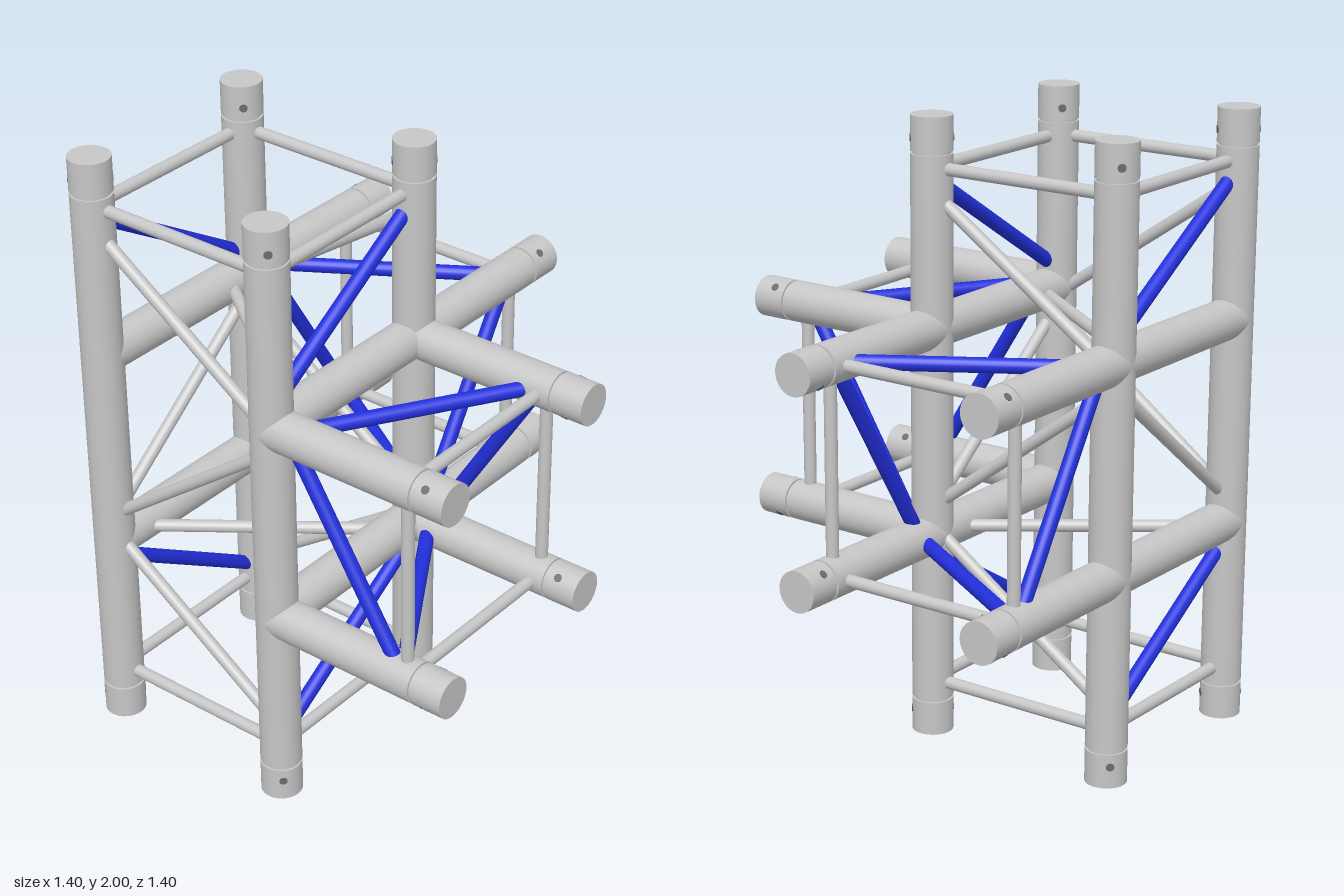
import * as THREE from 'three';

const A = -0.635, B = 0.035;      // chord centre lines in x and z
const LO = 0.665, HI = 1.335;     // arm chord heights
const R = 0.066, END = 0.7, CAP = 0.11, GAP = 0.008;

export function createModel() {
  const model = new THREE.Group();
  const aluminium = new THREE.MeshStandardMaterial({ color: 0xc6c6c6 });
  aluminium.name = 'aluminium';
  const blue = new THREE.MeshStandardMaterial({ color: 0x2230dc });
  blue.name = 'blue';
  const holeGrey = new THREE.MeshStandardMaterial({ color: 0x6c6c6c });
  holeGrey.name = 'holeGrey';
  const up = new THREE.Vector3(0, 1, 0);

  // round bar between two points
  function bar(name, p, q, radius, material, sides = 20, extend = 0) {
    const a = new THREE.Vector3(...p), b = new THREE.Vector3(...q);
    const dir = b.clone().sub(a), length = dir.length();
    dir.normalize();
    const mesh = new THREE.Mesh(
      new THREE.CylinderGeometry(radius, radius, length + 2 * extend, sides), material);
    mesh.position.copy(a).add(b).multiplyScalar(0.5);
    mesh.quaternion.setFromUnitVectors(up, dir);
    mesh.name = name;
    model.add(mesh);
  }

  // end sleeve with a groove and a diagonal pin hole; end is the outer tip
  function sleeve(end, inward, outward) {
    const e = new THREE.Vector3(...end), d = new THREE.Vector3(...inward);
    const at = (t) => e.clone().addScaledVector(d, t).toArray();
    bar('endSleeve', at(0), at(CAP), R, aluminium, 40);
    bar('sleeveGroove', at(CAP), at(CAP + GAP), R - 0.007, aluminium, 40);
    const o = new THREE.Vector3(...outward).normalize().multiplyScalar(R + 0.0008);
    const c = new THREE.Vector3(...at(0.07));
    bar('pinHole', c.clone().sub(o).toArray(), c.clone().add(o).toArray(), 0.013, holeGrey, 16);
  }

  const side = (v) => (v === A ? -1 : 1);
  const level = (y) => (y === LO ? -1 : 1);

  // four upright chords
  for (const x of [A, B]) for (const z of [A, B]) {
    bar('uprightChord', [x, CAP + GAP, z], [x, 2 - CAP - GAP, z], R, aluminium, 40);
    sleeve([x, 0, z], [0, 1, 0], [side(x), 0, side(z)]);
    sleeve([x, 2, z], [0, -1, 0], [side(x), 0, side(z)]);
  }

  // side and front arm chords
  for (const y of [LO, HI]) for (const c of [A, B]) {
    bar('sideArmChord', [A, y, c], [END - CAP - GAP, y, c], R, aluminium, 40);
    sleeve([END, y, c], [-1, 0, 0], [0, level(y), side(c)]);
    bar('frontArmChord', [c, y, B], [c, y, END - CAP - GAP], R, aluminium, 40);
    sleeve([c, y, END], [0, 0, -1], [side(c), level(y), 0]);
  }

  // straight rungs near each open end
  const rung = (p, q) => bar('rung', p, q, 0.02, aluminium);
  for (const c of [A, B]) {
    for (const y of [0.17, 1.837]) {
      rung([A, y, c], [B, y, c]);
      rung([c, y, A], [c, y, B]);
    }
    rung([0.53, LO, c], [0.53, HI, c]);
    rung([c, LO, 0.535], [c, HI, 0.535]);
  }
  for (const y of [LO, HI]) {
    rung([0.53, y, A], [0.53, y, B]);
    rung([A, y, 0.535], [B, y, 0.535]);
  }

  // diagonals: opposite faces lean opposite ways
  const grey = (p, q) => bar('greyDiagonal', p, q, 0.02, aluminium, 20, 0.025);
  const brace = (p, q) => bar('blueDiagonal', p, q, 0.0235, blue, 20, 0.025);
  const N = -0.57, F = -0.03;     // inner chord faces
  const I = 0.14, O = 0.475;      // arm diagonal, inner and outer ends
  for (const c of [A, B]) {
    // front and back faces of the tower
    const [s, t] = c === B ? [N, F] : [F, N];
    brace([s, 0.235, c], [t, 0.565, c]);
    grey([t, 0.79, c], [s, 1.21, c]);
    brace([s, 1.435, c], [t, 1.765, c]);

    // left and right faces of the tower
    const [u, v] = c === A ? [F, N] : [N, F];
    grey([c, 0.28, u], [c, 0.65, v]);
    grey([c, 0.80, v], [c, 1.20, u]);
    grey([c, 1.35, u], [c, 1.72, v]);

    // upright faces of the arms
    const [low, high] = c === A ? [O, I] : [I, O];
    brace([low, 0.73, c], [high, 1.27, c]);
    brace([c, 0.73, low], [c, 1.27, high]);
  }
  for (const y of [LO, HI]) {
    // level faces of the arms and the core
    const top = y === HI;
    brace([I, y, top ? N : F], [O, y, top ? F : N]);
    brace([N, y, top ? I : O], [F, y, top ? O : I]);
    grey([-0.1, y, top ? N : F], [-0.5, y, top ? F : N]);
  }
  return model;
}
